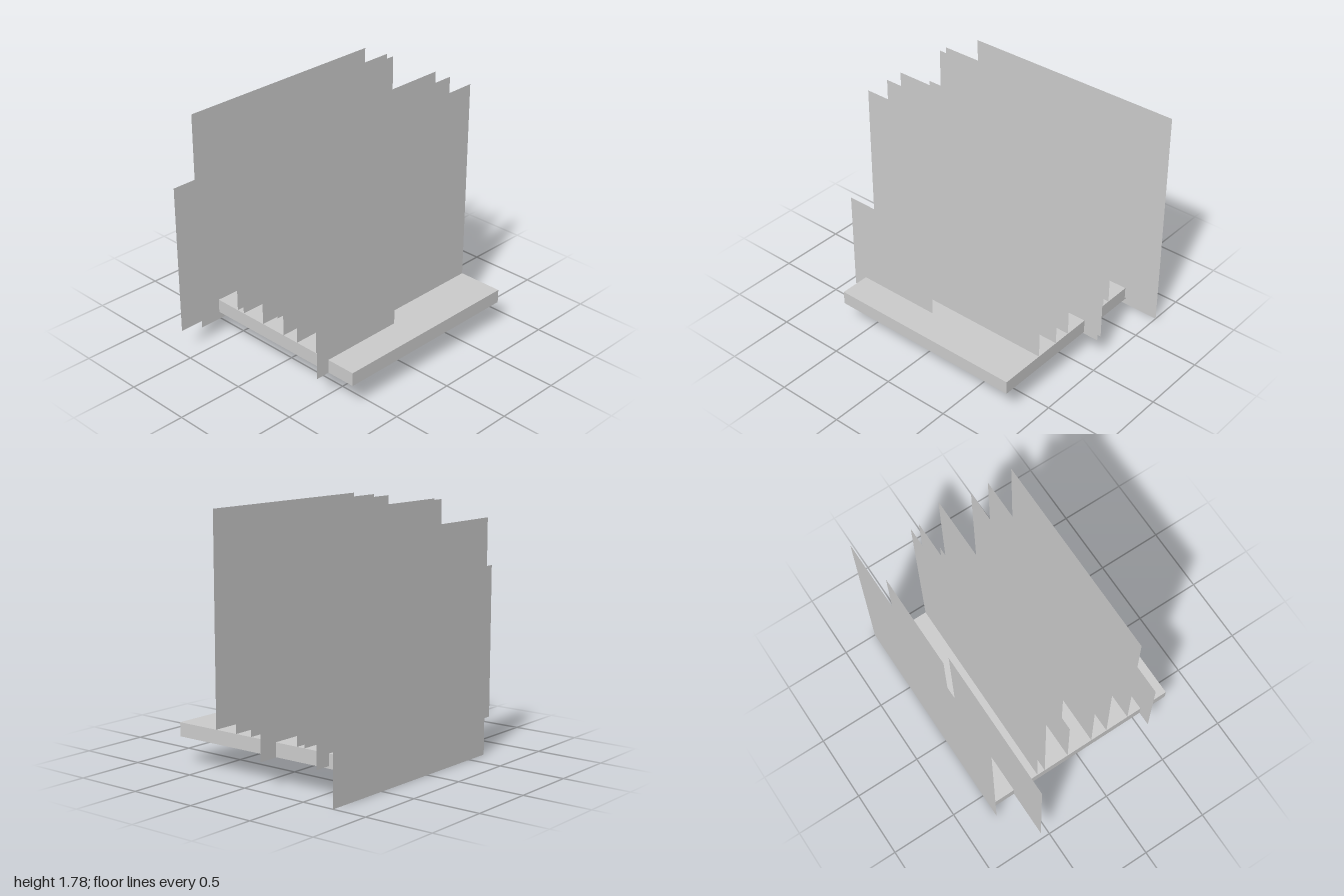
import * as THREE from 'three';

export function createModel() {
  const model = new THREE.Group();
  const solid = new THREE.MeshStandardMaterial({ color: 0xcccccc });
  const sheet = new THREE.MeshStandardMaterial({ color: 0xcccccc, side: THREE.DoubleSide });

  // Flat square base slab
  const base = new THREE.Mesh(new THREE.BoxGeometry(1.49, 0.1, 1.49), solid);
  base.name = 'baseSlab';
  base.position.set(0.09, 0.245, 0);
  model.add(base);

  // Thin upright square sheet, placed by its lower -x corner
  function addPanel(name, size, x, y, z) {
    const panel = new THREE.Mesh(new THREE.PlaneGeometry(size, size), sheet);
    panel.name = name;
    panel.position.set(x + size / 2, y + size / 2, z);
    model.add(panel);
  }

  // Full-width panels standing on the slab
  [0.405, 0.222, 0.09, -0.312, -0.374].forEach((z, i) =>
    addPanel('uprightPanel' + (i + 1), 1.49, -0.655, 0.295, z));

  // Large offset panels
  addPanel('backPanel', 1.68, -0.68, 0, -0.745);
  addPanel('middlePanel', 1.485, -0.535, 0.18, -0.097);
  addPanel('sidePanel', 1.11, -1, 0.19, -0.575);

  // Small panels
  addPanel('smallFrontPanel', 0.745, -0.76, 0.193, 0.52);
  addPanel('smallMiddlePanelLeft', 0.745, 0.21, 0.198, -0.128);
  addPanel('smallMiddlePanelRight', 0.745, -0.655, 0.194, -0.115);
  addPanel('smallBackPanel', 0.748, 0.207, 0.212, -0.575);

  return model;
}
